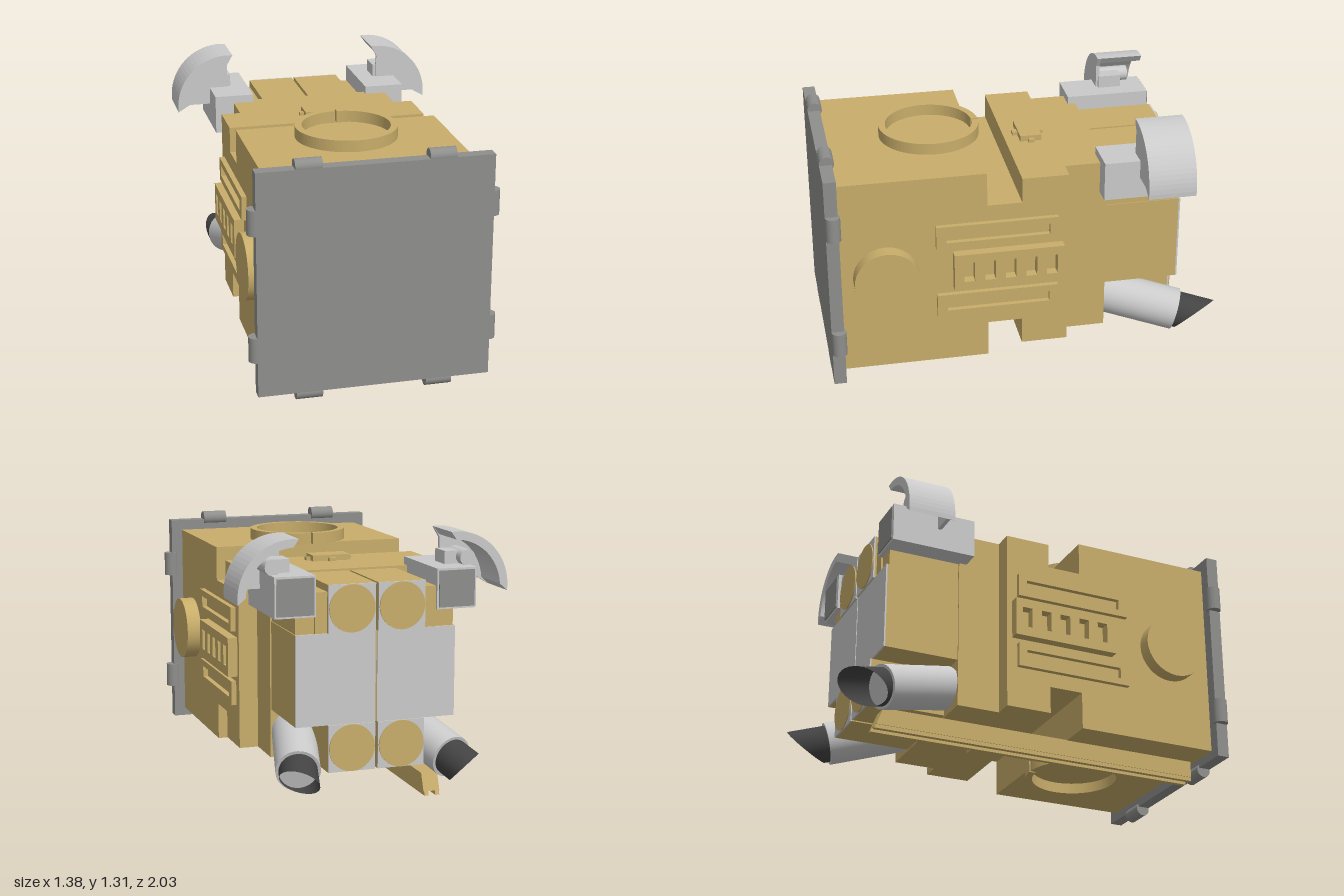
import * as THREE from 'three';

const mat = (name, color, side = THREE.FrontSide) => {
  const m = new THREE.MeshStandardMaterial({ color, side });
  m.name = name;
  return m;
};

export function createModel() {
  const model = new THREE.Group();
  const gold = mat('gold', 0xc8ad6a);
  const grey = mat('midGrey', 0x8e8e8c);
  const light = mat('lightGrey', 0xcacaca);
  const black = mat('charcoal', 0x434343, THREE.DoubleSide);

  const add = (name, geo, material, parent = model) => {
    const m = new THREE.Mesh(geo, material);
    m.name = name;
    parent.add(m);
    return m;
  };
  // Box given by its limits on each axis
  const box = (name, material, x0, x1, y0, y1, z0, z1) => {
    const g = new THREE.BoxGeometry(Math.abs(x1 - x0), y1 - y0, z1 - z0);
    g.translate((x0 + x1) / 2, (y0 + y1) / 2, (z0 + z1) / 2);
    return add(name, g, material);
  };
  // Cylinder along a chosen axis
  const rod = (name, material, axis, r, len, x, y, z) => {
    const g = new THREE.CylinderGeometry(r, r, len, 32);
    if (axis === 'x') g.rotateZ(Math.PI / 2);
    if (axis === 'z') g.rotateX(Math.PI / 2);
    g.translate(x, y, z);
    return add(name, g, material);
  };
  const rect = (Type, u0, u1, v0, v1) => new Type([
    new THREE.Vector2(u0, v0), new THREE.Vector2(u1, v0),
    new THREE.Vector2(u1, v1), new THREE.Vector2(u0, v1)]);
  // Extrude a (-z, y) outline along x
  const sidePlate = (name, shape, x0, depth) => {
    const g = new THREE.ExtrudeGeometry(shape, { depth, bevelEnabled: false });
    g.rotateY(Math.PI / 2).translate(x0, 0, 0);
    return add(name, g, gold);
  };

  // Main body
  box('frontBody', gold, -0.515, 0.515, 0.105, 1.14, 0.2, 0.94);
  box('bodyNeck', gold, -0.515, 0.515, 0.295, 0.965, 0.02, 0.2);
  box('middleBody', gold, -0.515, 0.515, 0.155, 1.095, -0.21, 0.025);
  box('rearBody', gold, -0.417, 0.417, 0.155, 1.095, -0.43, -0.21);
  box('engineCore', gold, -0.41, 0.41, 0.4, 0.85, -0.81, -0.43);

  // Front plate and its round hinges
  box('frontPlate', grey, -0.575, 0.575, 0.06, 1.195, 0.937, 1);
  for (const s of [-1, 1]) {
    for (const y of [0.05, 1.2]) rod('plateHinge', grey, 'x', 0.037, 0.13, s * 0.322, y, 0.963);
    for (const y of [0.302, 0.947]) rod('plateHinge', grey, 'y', 0.037, 0.127, s * 0.575, y, 0.963);
  }

  // Split rings above and below
  const ring = new THREE.Shape();
  const a0 = Math.PI / 2 + 0.025, a1 = Math.PI * 2.5 - 0.025;
  ring.absarc(0, 0, 0.255, a0, a1, false);
  ring.absarc(0, 0, 0.22, a1, a0, true);
  ring.closePath();
  for (const y of [0.05, 1.138]) {
    const g = new THREE.ExtrudeGeometry(ring, { depth: 0.06, bevelEnabled: false, curveSegments: 40 });
    g.rotateX(-Math.PI / 2).translate(0, y, 0.41);
    add('dockingRing', g, gold);
  }

  // Small hatches above and below
  for (const [y0, y1, t0, t1] of [[1.09, 1.125, 1.09, 1.112], [0.135, 0.16, 0.143, 0.16]]) {
    box('hatch', gold, -0.1, 0.1, y0, y1, -0.158, -0.048);
    box('hatchCrossTab', gold, -0.122, 0.122, t0, t1, -0.118, -0.088);
    box('hatchLongTab', gold, -0.02, 0.02, t0, t1, -0.182, -0.022);
  }

  // Side discs, framed recesses and slotted vents
  for (const s of [-1, 1]) {
    rod('sideDisc', gold, 'x', 0.165, 0.1, s * 0.54, 0.62, 0.71);
    for (const y of [0.432, 0.818]) {
      const frame = rect(THREE.Shape, -0.46, 0.155, y - 0.062, y + 0.062);
      frame.holes.push(rect(THREE.Path, -0.41, 0.112, y - 0.028, y + 0.028));
      sidePlate('sideFrame', frame, s > 0 ? 0.513 : -0.541, 0.028);
    }
    const vent = rect(THREE.Shape, -0.375, 0.182, 0.525, 0.727);
    for (let i = 0; i < 5; i++) {
      const u = -0.3 + i * 0.105;
      vent.holes.push(rect(THREE.Path, u - 0.027, u + 0.027, 0.575, 0.68));
    }
    sidePlate('sideVent', vent, s > 0 ? 0.513 : -0.565, 0.052);
  }

  // Offset rail underneath
  const railShape = (y0, y1) => new THREE.Shape([
    new THREE.Vector2(-0.915, y0), new THREE.Vector2(0.825 - y0 * 0.4, y0),
    new THREE.Vector2(0.825 - y1 * 0.4, y1), new THREE.Vector2(-0.915, y1)]);
  sidePlate('rail', railShape(0.02, 0.107), -0.34, 0.085);
  sidePlate('railLip', railShape(0, 0.03), -0.337, 0.022);
  sidePlate('railLip', railShape(0, 0.03), -0.28, 0.022);

  for (const s of [-1, 1]) {
    // Rear panels and the square pods with round ends
    box('rearPanel', light, s * 0.005, s * 0.41, 0.4, 0.85, -0.818, -0.81);
    for (const [y0, y1] of [[0.165, 0.4], [0.85, 1.085]]) {
      box('enginePod', gold, s * 0.007, s * 0.248, y0, y1, -0.82, -0.43);
      box('podEnd', light, s * 0.007, s * 0.248, y0, y1, -0.828, -0.82);
      rod('podDisc', gold, 'z', 0.117, 0.008, s * 0.128, (y0 + y1) / 2, -0.83);
    }
    box('podSide', gold, s * 0.248, s * 0.31, 0.85, 1.05, -0.81, -0.43);
    box('housingSupport', gold, s * 0.248, s * 0.405, 0.85, 0.94, -0.8, -0.43);

    // Upper housing
    box('housing', light, s * 0.31, s * 0.515, 0.935, 1.135, -0.825, -0.39);
    box('housingEnd', grey, s * 0.32, s * 0.505, 0.945, 1.125, -0.832, -0.825);
    box('wingBracket', light, s * 0.4, s * 0.5, 1.13, 1.2, -0.7, -0.58);
    rod('wingLamp', light, 'z', 0.04, 0.17, s * 0.5, 1.17, -0.67);

    // Curved hood: crescent shell with a closed front wall
    const arc = (cx, cy, r, from, to) => Array.from({ length: 21 }, (_, i) => {
      const a = from + (to - from) * i / 20;
      return new THREE.Vector2(s * (cx + r * Math.cos(a)), cy + r * Math.sin(a));
    });
    const outer = arc(0.415, 1.035, 0.275, -0.1, Math.PI / 2 + 0.1);
    const inner = arc(0.405, 1.025, 0.245, Math.PI / 2 - 0.04, 0.07);
    const hood = new THREE.ExtrudeGeometry(new THREE.Shape([...outer, ...inner]),
      { depth: 0.24, bevelEnabled: false });
    add('curvedHood', hood.translate(0, 0, -0.81), light);
    const wall = new THREE.Shape([...outer, ...[[0.418, 1.255], [0.418, 1.045], [0.625, 1.045]]
      .map(([x, y]) => new THREE.Vector2(s * x, y))]);
    const front = new THREE.ExtrudeGeometry(wall, { depth: 0.02, bevelEnabled: false });
    add('hoodFrontWall', front.translate(0, 0, -0.589), light);

    // Splayed exhaust with an obliquely cut tip
    const exhaust = new THREE.Group();
    exhaust.name = 'exhaust';
    exhaust.position.set(s * 0.3, 0.29, -0.44);
    exhaust.quaternion.setFromUnitVectors(new THREE.Vector3(0, 1, 0),
      new THREE.Vector3(s * 0.26, -0.27, -1).normalize());
    model.add(exhaust);
    add('exhaustPipe', new THREE.CylinderGeometry(0.11, 0.11, 0.406, 32).translate(0, 0.203, 0), light, exhaust);
    const tip = new THREE.CylinderGeometry(0.095, 0.095, 0.1, 32, 1, true);
    const p = tip.attributes.position;
    for (let i = 0; i < p.count; i++) {
      const slant = (s * 0.8 * p.getX(i) - 0.6 * p.getZ(i)) / 0.095;
      p.setY(i, p.getY(i) > 0 ? 0.515 - 0.085 * slant : 0.4);
    }
    add('exhaustTip', tip, black, exhaust);
  }
  return model;
}
